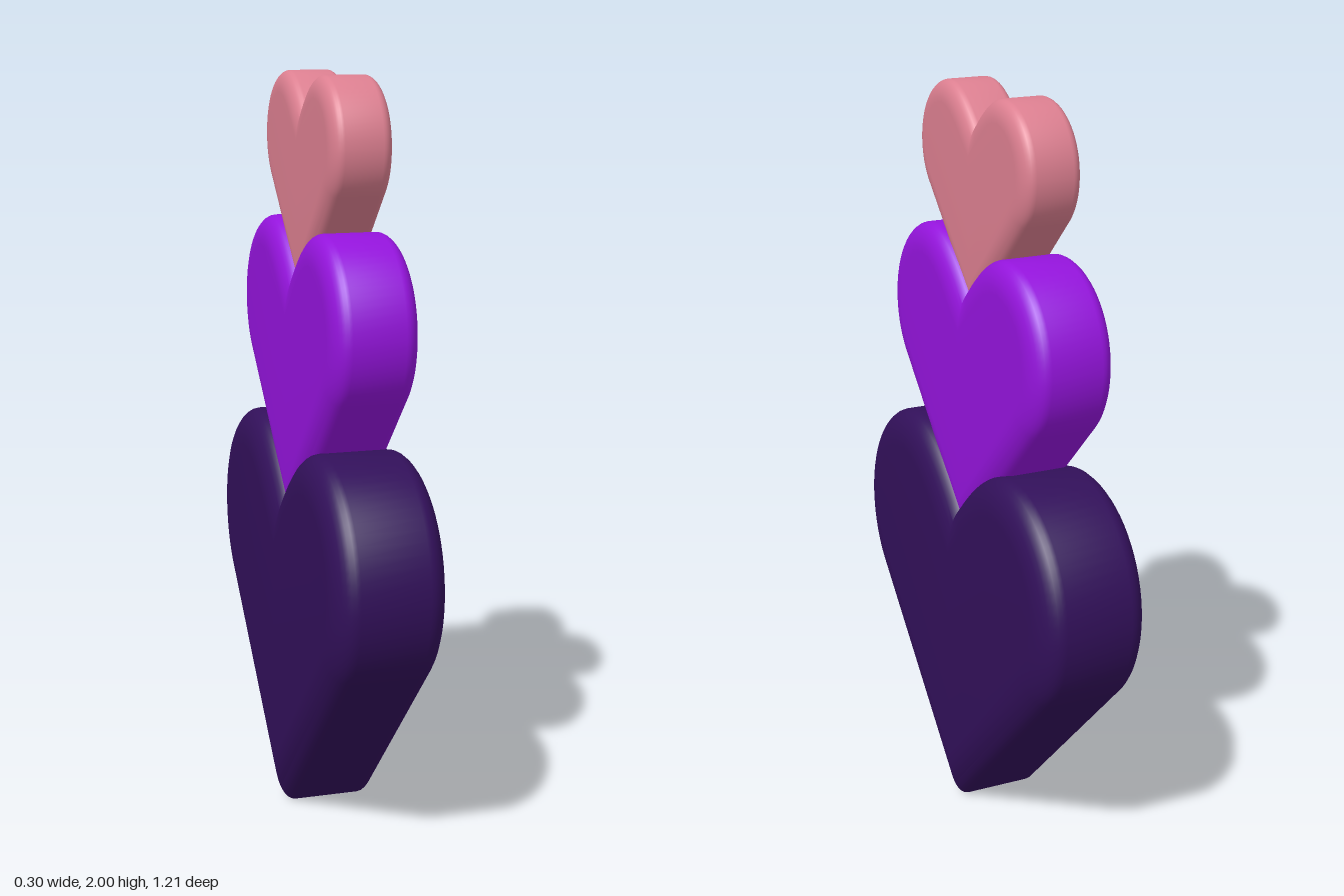
import * as THREE from 'three';
import { toCreasedNormals } from 'three/addons/utils/BufferGeometryUtils.js';

// Heart outline with its tip at the origin
function heartShape() {
  const s = new THREE.Shape();
  s.moveTo(0, 0);
  s.lineTo(0.515, 0.515);
  s.bezierCurveTo(0.574, 0.574, 0.605, 0.655, 0.605, 0.74);
  s.bezierCurveTo(0.605, 0.914, 0.467, 1.055, 0.296, 1.055);
  s.bezierCurveTo(0.19, 1.055, 0.1, 0.985, 0, 0.885);
  s.bezierCurveTo(-0.1, 0.985, -0.19, 1.055, -0.296, 1.055);
  s.bezierCurveTo(-0.467, 1.055, -0.605, 0.914, -0.605, 0.74);
  s.bezierCurveTo(-0.605, 0.655, -0.574, 0.574, -0.515, 0.515);
  s.closePath();
  return s;
}

// Thick heart with softly rounded rims, its faces turned to +x and -x
function heartGeometry() {
  const depth = 0.18;
  const geo = new THREE.ExtrudeGeometry(heartShape(), {
    depth, curveSegments: 16,
    bevelEnabled: true, bevelThickness: 0.06, bevelSize: 0.1, bevelOffset: -0.1, bevelSegments: 8,
  });
  geo.translate(0, 0, -depth / 2);
  geo.rotateY(Math.PI / 2);
  return toCreasedNormals(geo, 0.7);
}

export function createModel() {
  const group = new THREE.Group();
  group.name = 'heartStack';
  const geo = heartGeometry();

  // Three hearts, each tip sunk into the notch of the one below
  const hearts = [
    ['bottomHeart', 1, 0, 0x32105a],
    ['middleHeart', 0.766, 0.802, 0x9414dc],
    ['topHeart', 0.55, 1.42, 0xdc7f90],
  ];
  for (const [name, scale, y, color] of hearts) {
    const mesh = new THREE.Mesh(geo, new THREE.MeshStandardMaterial({ color }));
    mesh.name = name;
    mesh.scale.setScalar(scale);
    mesh.position.y = y;
    group.add(mesh);
  }
  return group;
}
